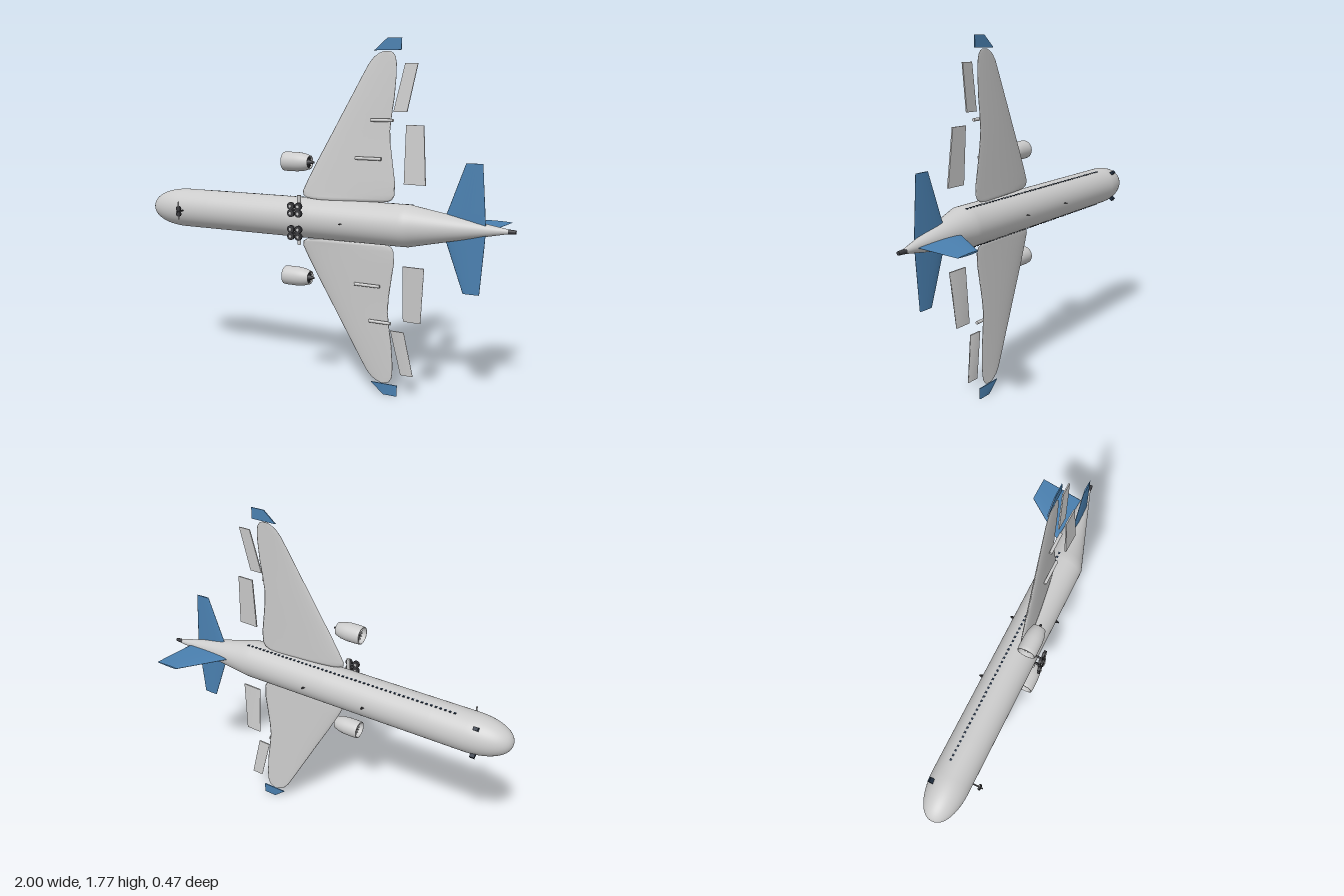
import * as THREE from 'three';

const C = 0.888; // height of the centre line; the nose points to -x, the roof to -z
const mat = (color) => new THREE.MeshStandardMaterial({ color, side: THREE.DoubleSide });

// Skin a list of rings of points, closing both ends
function loft(rings, flat = false) {
  const n = rings[0].length, pos = [], idx = [];
  rings.forEach((r) => r.forEach((p) => pos.push(...p)));
  for (let i = 0; i < rings.length - 1; i++) {
    for (let j = 0; j < n; j++) {
      const k = (j + 1) % n, a = i * n + j, b = i * n + k;
      idx.push(a, b, b + n, a, b + n, a + n);
    }
  }
  [rings[0], rings[rings.length - 1]].forEach((r, end) => {
    const base = pos.length / 3;
    r.forEach((p) => pos.push(...p));
    pos.push(...[0, 1, 2].map((k) => r.reduce((s, p) => s + p[k], 0) / n));
    for (let j = 0; j < n; j++) {
      const a = base + j, b = base + (j + 1) % n;
      if (end) idx.push(base + n, a, b); else idx.push(base + n, b, a);
    }
  });
  let g = new THREE.BufferGeometry();
  g.setAttribute('position', new THREE.Float32BufferAttribute(pos, 3));
  g.setIndex(idx);
  if (flat) g = g.toNonIndexed();
  g.computeVertexNormals();
  return g;
}

// Outlines running from the leading edge: [chord -1..1, thickness -1..1]
const FOIL = Array.from({ length: 28 }, (_, i) => {
  const a = (i / 28) * Math.PI * 2;
  return [-Math.cos(a), Math.sin(a) * (0.8 + 0.35 * Math.cos(a))];
});
const SLAB = [[-1, -1], [-1, 1], [1, 1], [1, -1]];

// Lifting surface from sections [span, xLead, xTrail, zLead, zTrail, thickness]
function surface(sections, outline, place) {
  return loft(sections.map(([s, x0, x1, z0, z1, t]) => outline.map(([u, v]) => {
    const f = (u + 1) / 2;
    return place(x0 + (x1 - x0) * f, s, z0 + (z1 - z0) * f + v * t / 2);
  })), outline === SLAB);
}

export function createModel() {
  const model = new THREE.Group();
  const grey = mat(0xcccccc), blue = mat(0x4a80b0), dark = mat(0x3a3a3e), glass = mat(0x1f2c3d);
  const add = (name, geo, material, x = 0, y = 0, z = 0, parent = model) => {
    const m = new THREE.Mesh(geo, material);
    m.name = name;
    m.position.set(x, y, z);
    parent.add(m);
    return m;
  };
  const box = (x, y, z) => new THREE.BoxGeometry(x, y, z);
  const rod = (r, h, axis = 'y', r2 = r) => {
    const g = new THREE.CylinderGeometry(r2, r, h, 20);
    if (axis === 'x') g.rotateZ(-Math.PI / 2);
    if (axis === 'z') g.rotateX(Math.PI / 2);
    return g;
  };

  // Fuselage: rounded nose, straight tube, tail cone rising to the roof line
  const stations = [];
  for (let i = 0; i <= 14; i++) {
    const a = (i / 14) * Math.PI / 2;
    stations.push([-0.79 - 0.21 * Math.cos(a), 0.077 + 0.006 * Math.cos(a),
      Math.max(0.001, 0.103 * Math.pow(Math.sin(a), 0.9))]);
  }
  stations.push([-0.6, 0.077, 0.103], [0, 0.077, 0.103], [0.48, 0.077, 0.103], [0.505, 0.077, 0.1025],
    [0.535, 0.073, 0.096], [0.6, 0.064, 0.083], [0.75, 0.043, 0.053], [0.88, 0.025, 0.027], [0.965, 0.013, 0.011]);
  add('fuselage', loft(stations.map(([x, z, r]) => Array.from({ length: 48 }, (_, j) => {
    const a = (j / 48) * Math.PI * 2;
    return [x, C + r * Math.cos(a), z + r * Math.sin(a)];
  }))), grey);
  add('tailExhaust', rod(0.012, 0.045, 'x', 0.009), dark, 0.9775, C, 0.013);

  // Fin
  add('fin', surface([[-0.02, 0.59, 0.89, 0, 0, 0.022], [0.24, 0.785, 0.922, 0, 0, 0.01]],
    FOIL, (x, s, n) => [x, C + n, -s]), blue);

  // Wing sections: [span, leading x, trailing x], with rounded root and tip
  const plan = [[0.1, 0.02, 0.33], [0.105, -0.04, 0.38], [0.117, -0.06, 0.405], [0.14, -0.064, 0.417],
    [0.2, -0.036, 0.418], [0.29, 0.01, 0.404], [0.38, 0.059, 0.391], [0.45, 0.097, 0.386], [0.54, 0.145, 0.395],
    [0.61, 0.183, 0.405], [0.72, 0.242, 0.412], [0.77, 0.27, 0.411], [0.8, 0.295, 0.405], [0.818, 0.322, 0.392],
    [0.826, 0.345, 0.375]];
  const wing = plan.map(([s, a, b], i) => {
    const k = (0.83 - s) / 0.73;
    return [s, a, b, 0.037 + 0.063 * k, 0.037 + 0.022 * k, (0.007 + 0.037 * k) * (i === 0 ? 0.5 : 1)];
  });

  for (const side of [1, -1]) {
    const label = side > 0 ? 'upper' : 'lower';
    const half = new THREE.Group();
    half.name = label + 'Half';
    model.add(half);
    const put = (name, geo, m, x, s, z) => add(name, geo, m, x, C + side * s, z, half);
    // Mirroring reverses the outline so that faces keep pointing outwards
    const panel = (name, sections, outline, m) => add(name, surface(sections,
      side > 0 ? outline : [...outline].reverse(), (x, s, n) => [x, C + side * s, n]), m, 0, 0, 0, half);

    panel('wing', wing, FOIL, grey);
    panel('wingTip', [[0.83, 0.295, 0.435, 0.037, 0.037, 0.006], [0.887, 0.362, 0.435, 0.037, 0.037, 0.005]], SLAB, blue);
    panel('flap', [[0.2, 0.475, 0.585, 0.084, 0.088, 0.008], [0.48, 0.475, 0.565, 0.066, 0.069, 0.007]], SLAB, grey);
    panel('aileron', [[0.54, 0.405, 0.475, 0.056, 0.058, 0.007], [0.768, 0.455, 0.52, 0.039, 0.041, 0.006]], SLAB, grey);
    panel('tailplane', [[0.01, 0.65, 0.867, 0.045, 0.045, 0.022], [0.075, 0.68, 0.863, 0.045, 0.045, 0.019],
      [0.31, 0.765, 0.845, 0.045, 0.045, 0.009]], FOIL, blue);

    // Flap track fairings
    put('fairing', rod(0.008, 0.135, 'x'), grey, 0.288, 0.315, 0.085);
    put('fairing', rod(0.008, 0.115, 'x'), grey, 0.352, 0.5, 0.07);

    // Engine: open nacelle, fan, spinner and core
    const engine = new THREE.Group();
    engine.name = 'engine';
    engine.position.set(0, C + side * 0.291, 0.156);
    half.add(engine);
    const lathe = (pts) => new THREE.LatheGeometry(pts.map((p) => new THREE.Vector2(...p)), 36).rotateZ(-Math.PI / 2);
    add('nacelle', lathe([[0.037, -0.05], [0.039, -0.125], [0.042, -0.135], [0.0465, -0.134], [0.048, -0.115],
      [0.048, -0.06], [0.044, -0.025], [0.034, 0.008], [0.03, 0.007], [0.037, -0.05]]), grey, 0, 0, 0, engine);
    add('core', lathe([[0, -0.125], [0.009, -0.112], [0.012, -0.09], [0.02, -0.06], [0.019, -0.01],
      [0.009, 0.012], [0.005, 0.03], [0, 0.03]]), dark, 0, 0, 0, engine);
    add('fanBacking', rod(0.037, 0.004, 'x'), dark, -0.085, 0, 0, engine);
    for (let i = 0; i < 14; i++) {
      const a = (i / 14) * Math.PI * 2;
      const blade = box(0.012, 0.032, 0.004).translate(0, 0.023, 0);
      add('fanBlade', blade, grey, -0.108, 0, 0, engine).rotation.x = a;
      const vane = box(0.012, 0.014, 0.003).translate(0, 0.024, 0);
      add('exhaustVane', vane, dark, -0.005, 0, 0, engine).rotation.x = a;
    }

    // Main gear: four flat wheels around a bogie beam
    put('mainStrut', rod(0.009, 0.095), grey, -0.05, 0.0775, 0.165);
    put('mainLeg', rod(0.005, 0.05, 'z'), dark, -0.05, 0.058, 0.187);
    put('bogieBeam', box(0.05, 0.008, 0.006), dark, -0.05, 0.058, 0.21);
    for (const dx of [-0.021, 0.021]) {
      put('axle', rod(0.003, 0.04), dark, -0.05 + dx, 0.058, 0.21);
      for (const ds of [-0.018, 0.018]) {
        put('mainWheel', rod(0.019, 0.013, 'z'), dark, -0.05 + dx, 0.058 + ds, 0.211);
        put('wheelHub', rod(0.007, 0.02, 'z'), grey, -0.05 + dx, 0.058 + ds, 0.211);
      }
    }
    put('noseWheel', rod(0.014, 0.01, 'z'), dark, -0.755, 0.014, 0.216);

    // Cabin and cockpit windows
    for (let i = 0; i < 50; i++) put('cabinWindow', box(0.011, 0.005, 0.011), glass, -0.712 + i * 0.0248, 0.0965, 0.043);
    put('cockpitWindow', box(0.024, 0.018, 0.042), glass, -0.838, 0.072, 0.01).rotation.x = side * 0.65;
  }

  // Nose gear
  add('noseStrut', rod(0.004, 0.095), grey, -0.755, C + 0.004, 0.216);
  add('noseLeg', rod(0.004, 0.065, 'z'), dark, -0.755, C, 0.2);

  // Blade antennas on the roof and belly
  for (const [x, z, dir] of [[-0.25, -0.033, -1], [0.105, -0.033, -1], [0.185, 0.187, 1]]) {
    const blade = new THREE.CylinderGeometry(0.003, 0.01, 0.022, 4).scale(1, 1, 0.35).rotateX(dir * Math.PI / 2);
    add('antenna', blade, dark, x, C, z);
  }
  return model;
}
